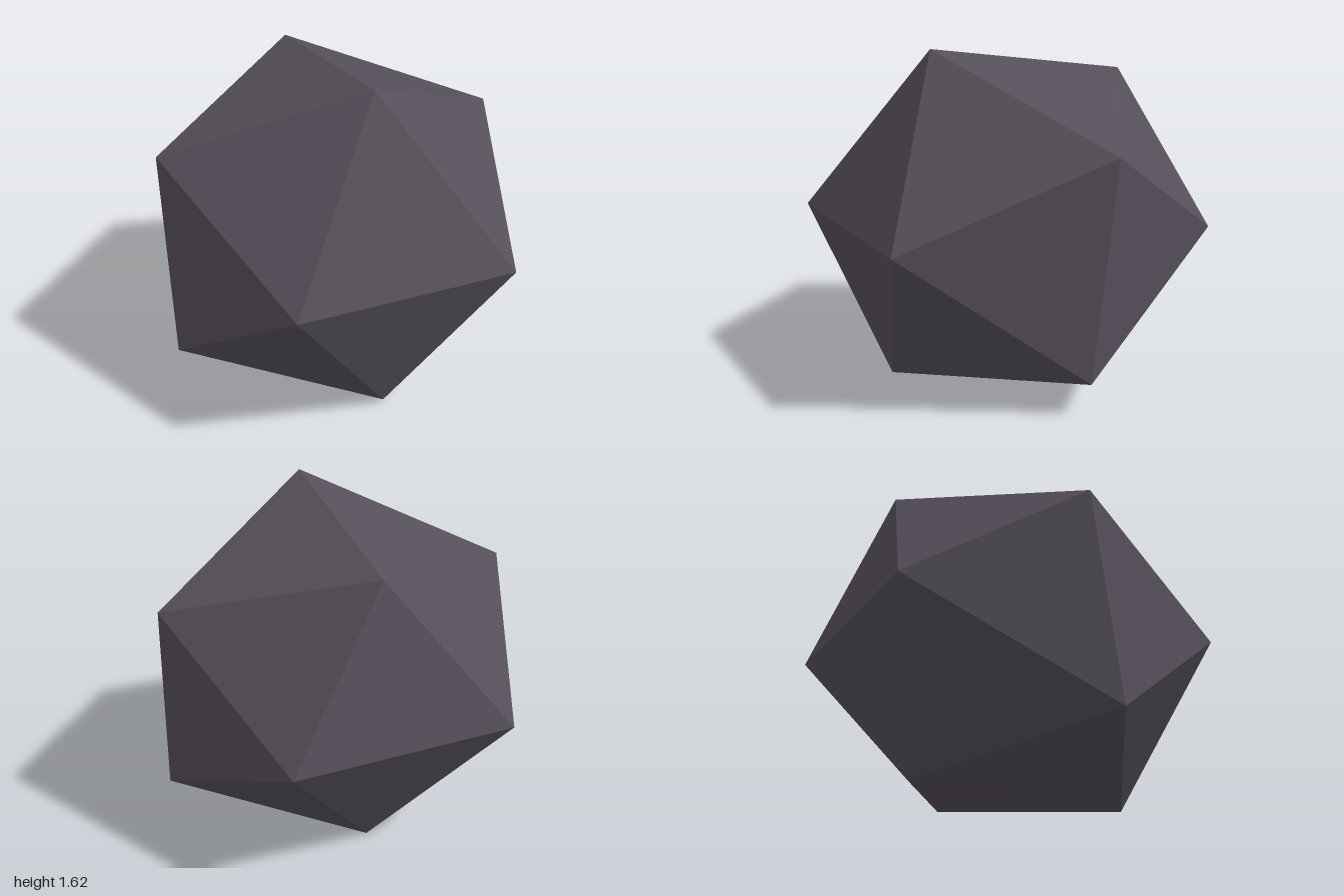
import * as THREE from 'three';

export function createModel() {
  const group = new THREE.Group();
  group.name = 'rock';

  const stone = new THREE.MeshStandardMaterial({ color: 0x554f59, flatShading: true });
  stone.name = 'dark stone';

  // Corners of a slightly squashed twenty-sided rock: tip, two staggered rings of five, base tip
  const top = [-0.105, 1.62, 0.42];
  const upper = [
    [-0.765, 0.805, 0.70], [0.285, 0.785, 1.0], [0.87, 1.195, 0.175],
    [0.18, 1.475, -0.63], [-0.83, 1.225, -0.30],
  ];
  const lower = [
    [-0.19, 0.02, 0.63], [0.825, 0.155, 0.29], [0.73, 0.695, -0.72],
    [-0.325, 0.72, -1.0], [-0.875, 0.18, -0.17],
  ];
  const bottom = [0.145, 0.0, -0.50];

  // Stitch the cap, the zigzag belt and the base
  const corners = [];
  const face = (a, b, c) => corners.push(...a, ...b, ...c);
  for (let i = 0; i < 5; i++) {
    const j = (i + 1) % 5;
    face(top, upper[i], upper[j]);
    face(upper[i], lower[i], upper[j]);
    face(lower[i], lower[j], upper[j]);
    face(bottom, lower[j], lower[i]);
  }

  const geometry = new THREE.BufferGeometry();
  geometry.setAttribute('position', new THREE.Float32BufferAttribute(corners, 3));
  geometry.computeVertexNormals();

  const body = new THREE.Mesh(geometry, stone);
  body.name = 'rockBody';
  group.add(body);
  return group;
}
